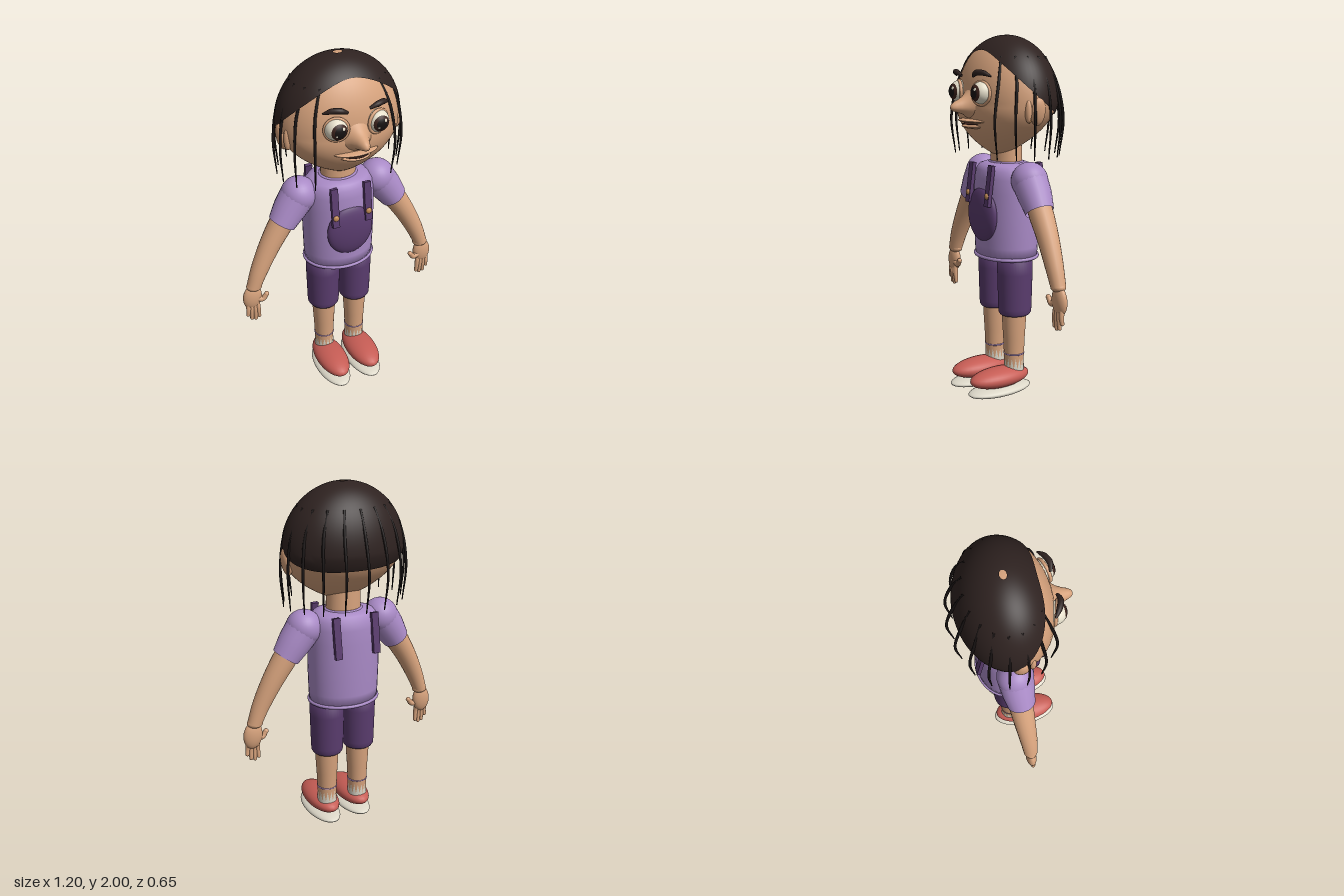
import * as THREE from 'three';
import { ParametricGeometry } from 'three/addons/geometries/ParametricGeometry.js';

const mat = (name, color, side = THREE.FrontSide) =>
  Object.assign(new THREE.MeshStandardMaterial({ color, side }), { name });

const V = (x, y, z) => new THREE.Vector3(x, y, z);

// Skull surface: phi runs around from the front, a runs down from the crown.
function skull(phi, a, rx, ryTop, rz, out) {
  const c = Math.cos(a);
  const r = c > 0 ? Math.sin(a) : Math.pow(Math.max(Math.sin(a), 0), 1.7);
  const y = 1.65 + c * (c > 0 ? ryTop : 0.3);
  const z = -0.025 + 0.055 * Math.max(0, -c);
  return out.set(Math.sin(phi) * r * rx, y, z + Math.cos(phi) * r * rz);
}

// Smooth tube through points whose radius follows the given list.
function taperTube(points, radii, segments = 24, sides = 20) {
  const geo = new THREE.TubeGeometry(new THREE.CatmullRomCurve3(points), segments, 1, sides);
  const p = geo.attributes.position, n = geo.attributes.normal;
  for (let i = 0; i < p.count; i++) {
    const t = Math.floor(i / (sides + 1)) / segments * (radii.length - 1);
    const k = Math.min(Math.floor(t), radii.length - 2);
    const shrink = 1 - THREE.MathUtils.lerp(radii[k], radii[k + 1], t - k);
    p.setXYZ(i, p.getX(i) - n.getX(i) * shrink, p.getY(i) - n.getY(i) * shrink, p.getZ(i) - n.getZ(i) * shrink);
  }
  return geo;
}

export function createModel() {
  const model = new THREE.Group();
  model.name = 'child';
  const skin = mat('skin', 0xd6a27c, THREE.DoubleSide);
  const hair = mat('hair', 0x2e2220, THREE.DoubleSide);
  const black = mat('black', 0x171212);
  const white = mat('eyeWhite', 0xe6dfcb);
  const brown = mat('irisBrown', 0x3a211b);
  const lavender = mat('shirtLavender', 0xa98ac6, THREE.DoubleSide);
  const purple = mat('darkPurple', 0x5a3c6e);
  const red = mat('shoeRed', 0xc75d55);
  const pale = mat('paleSole', 0xdcd7c8, THREE.DoubleSide);
  const tan = mat('buttonTan', 0xc08a55);

  const add = (name, geo, material, x = 0, y = 0, z = 0) => {
    const mesh = new THREE.Mesh(geo, material);
    mesh.name = name;
    mesh.position.set(x, y, z);
    model.add(mesh);
    return mesh;
  };
  const ball = (name, material, x, y, z, rx, ry = rx, rz = rx) => {
    const mesh = add(name, new THREE.SphereGeometry(1, 32, 20), material, x, y, z);
    mesh.scale.set(rx, ry, rz);
    return mesh;
  };
  const ring = (name, material, x, y, z, r, tube, depth = 1) => {
    const geo = new THREE.TorusGeometry(r, tube, 10, 40).rotateX(Math.PI / 2);
    const mesh = add(name, geo, material, x, y, z);
    mesh.scale.z = depth;
    return mesh;
  };
  const lathe = (name, material, profile, x, z, depth) => {
    const mesh = add(name, new THREE.LatheGeometry(profile.map(([r, y]) => new THREE.Vector2(r, y)), 40), material, x, 0, z);
    mesh.scale.z = depth;
    return mesh;
  };

  // Head and neck
  add('head', new ParametricGeometry((u, v, out) =>
    skull(Math.PI - u * 2 * Math.PI, 0.002 + v * (Math.PI - 0.004), 0.335, 0.346, 0.245, out), 48, 36), skin);
  add('neck', new THREE.CylinderGeometry(0.095, 0.1, 0.18, 32), skin, 0, 1.35, -0.025).scale.z = 0.85;

  // Hair cap: open at the crown, high over the forehead, low at the back
  add('hairCap', new ParametricGeometry((u, v, out) => {
    const phi = Math.PI - u * 2 * Math.PI;
    const edge = 0.69 + 1.13 * (1 - Math.pow(Math.cos(phi / 2), 4));
    return skull(phi, THREE.MathUtils.lerp(0.07, edge, v), 0.343, 0.351, 0.252, out);
  }, 64, 24), hair);

  // Loose hair strands around the back and sides
  for (let k = -7; k <= 7; k++) {
    const phi = Math.PI - k * Math.PI / 9;
    const at = (rx, y, rz) => V(Math.sin(phi) * rx, y, -0.027 + Math.cos(phi) * rz);
    const path = [at(0.25, 1.885, 0.183), at(0.322, 1.75, 0.243), at(0.35, 1.56, 0.288), at(0.338, 1.355, 0.262)];
    add('hairStrand', taperTube(path, [0.007, 0.008, 0.007, 0.003], 20, 8), black);
  }

  // Nose: flared cone with a bridge rising between the eyes
  const nose = lathe('nose', skin, [[0.11, 0.19], [0.075, 0.215], [0.05, 0.245], [0.036, 0.275],
    [0.027, 0.3], [0.018, 0.317], [0.009, 0.324], [0, 0.326]], 0, 0, 1);
  nose.geometry.rotateX(Math.PI / 2);
  const np = nose.geometry.attributes.position;
  for (let i = 0; i < np.count; i++) {
    const y = np.getY(i), z = np.getZ(i);
    np.setY(i, 1.62 + y * (y > 0 ? 1.15 : 0.85) + (0.326 - z) * 0.05);
  }
  nose.geometry.computeVertexNormals();

  // Mouth
  ball('upperLip', skin, 0, 1.548, 0.185, 0.125, 0.013, 0.066);
  ball('lowerLip', skin, 0, 1.518, 0.18, 0.085, 0.014, 0.062);
  ball('mouthLine', brown, 0, 1.531, 0.185, 0.075, 0.005, 0.06);

  // Sphere cap facing forward, for the layers of the eye
  const cap = (name, material, x, r, angle, tiltX = 0, tiltY = 0) => {
    const geo = new THREE.SphereGeometry(r, 28, 8, 0, Math.PI * 2, 0, angle).rotateX(Math.PI / 2);
    add(name, geo, material, x, 1.7, 0.2).rotation.set(tiltX, tiltY, 0);
  };

  for (const s of [1, -1]) {
    // Eyes and brows
    const ex = s * 0.115;
    ball('eyeball', white, ex, 1.7, 0.2, 0.06);
    cap('iris', brown, ex, 0.0612, 0.78);
    cap('pupil', black, ex, 0.0622, 0.5);
    cap('eyeHighlight', white, ex, 0.0632, 0.13, -0.33, 0.3);
    cap('eyeHighlightSmall', white, ex, 0.0632, 0.08, 0.25, -0.3);
    add('eyelidRim', new THREE.TorusGeometry(0.06, 0.009, 10, 36), skin, ex, 1.698, 0.208).rotation.y = s * 0.3;
    add('eyebrow', taperTube([V(s * 0.06, 1.785, 0.222), V(s * 0.1, 1.803, 0.228), V(s * 0.14, 1.803, 0.212),
      V(s * 0.178, 1.785, 0.185)], [0.008, 0.016, 0.015, 0.005], 16, 10), hair);

    // Ears with studs
    ball('ear', skin, s * 0.322, 1.605, -0.01, 0.028, 0.075, 0.042).rotation.z = -s * 0.15;
    ball('earInner', skin, s * 0.312, 1.61, 0.045, 0.02, 0.06, 0.018);
    ball('earStud', tan, s * 0.305, 1.56, 0.035, 0.013);

    // Sleeve
    ball('shoulder', lavender, s * 0.235, 1.235, -0.02, 0.1);
    add('sleeve', taperTube([V(s * 0.235, 1.235, -0.02), V(s * 0.29, 1.16, -0.017), V(s * 0.342, 1.082, -0.012)],
      [0.099, 0.092, 0.077]), lavender);

    // Arm and hand
    add('arm', taperTube([V(s * 0.29, 1.16, -0.017), V(s * 0.345, 1.08, -0.015), V(s * 0.425, 0.95, -0.008),
      V(s * 0.495, 0.81, 0), V(s * 0.532, 0.715, 0.002)], [0.068, 0.066, 0.058, 0.05, 0.04], 32), skin);
    ball('wrist', skin, s * 0.528, 0.72, 0.002, 0.045, 0.028, 0.038);
    ball('palm', skin, s * 0.543, 0.648, 0.003, 0.055, 0.08, 0.03).rotation.z = s * 0.1;
    [[0.512, 0.51], [0.533, 0.498], [0.556, 0.505], [0.578, 0.535]].forEach(([x, y], i) => {
      const base = 0.52 + i * 0.0165;
      add('finger', taperTube([V(s * base, 0.62, 0.005), V(s * (base + x) / 2, 0.57, 0.012), V(s * x, y, 0.01)],
        [0.016, 0.014, 0.011], 10, 12), skin);
      ball('fingertip', skin, s * x, y, 0.01, 0.011);
    });
    add('thumb', taperTube([V(s * 0.525, 0.64, 0.005), V(s * 0.485, 0.625, 0.012), V(s * 0.462, 0.65, 0.014)],
      [0.024, 0.018, 0.013], 10, 12), skin);
    ball('thumbTip', skin, s * 0.461, 0.652, 0.014, 0.014);

    // Front and back straps with buttons
    const strap = new THREE.BoxGeometry(0.04, 0.225, 0.022);
    add('frontStrap', strap, purple, s * 0.097, 1.2, 0.147).rotation.x = -0.13;
    add('backStrap', strap, purple, s * 0.115, 1.2, -0.182).rotation.x = 0.15;
    ball('strapButton', tan, s * 0.097, 1.145, 0.165, 0.017, 0.017, 0.011);

    // Shorts leg
    lathe('shortsLeg', purple, [[0.06, 0.46], [0.082, 0.462], [0.09, 0.475], [0.092, 0.5], [0.097, 0.7],
      [0.098, 0.82], [0, 0.82]], s * 0.1, -0.018, 1.03);

    // Lower leg, ankle band and zigzag sock
    lathe('lowerLeg', skin, [[0.054, 0.1], [0.055, 0.2], [0.06, 0.32], [0.066, 0.42], [0.066, 0.52]], s * 0.1, -0.013, 1.03);
    ring('ankleBand', lavender, s * 0.1, 0.23, -0.013, 0.055, 0.005);
    const sock = new THREE.CylinderGeometry(0.0555, 0.057, 0.11, 32, 1, true);
    const sp = sock.attributes.position;
    for (let i = 0; i < 33; i++) if (i % 2) sp.setY(i, -0.005);
    add('sock', sock, pale, s * 0.1, 0.15, -0.013).scale.z = 1.03;

    // Shoe
    ball('shoe', red, s * 0.1, 0.103, 0.084, 0.09, 0.056, 0.188);
    ball('sole', pale, s * 0.1, 0.031, 0.084, 0.093, 0.031, 0.2);
  }

  // Shirt with hem and collar
  lathe('shirt', lavender, [[0, 0.79], [0.198, 0.78], [0.202, 0.85], [0.206, 1.0], [0.205, 1.15], [0.202, 1.23],
    [0.192, 1.275], [0.17, 1.302], [0.13, 1.314], [0.09, 1.316]], 0, -0.025, 0.82);
  ring('shirtHem', lavender, 0, 0.79, -0.025, 0.199, 0.01, 0.83);
  ring('collar', lavender, 0, 1.312, -0.025, 0.1, 0.01, 0.86);

  // Front pouch
  ball('pouch', purple, 0, 1.03, 0.132, 0.135, 0.15, 0.042);

  return model;
}
